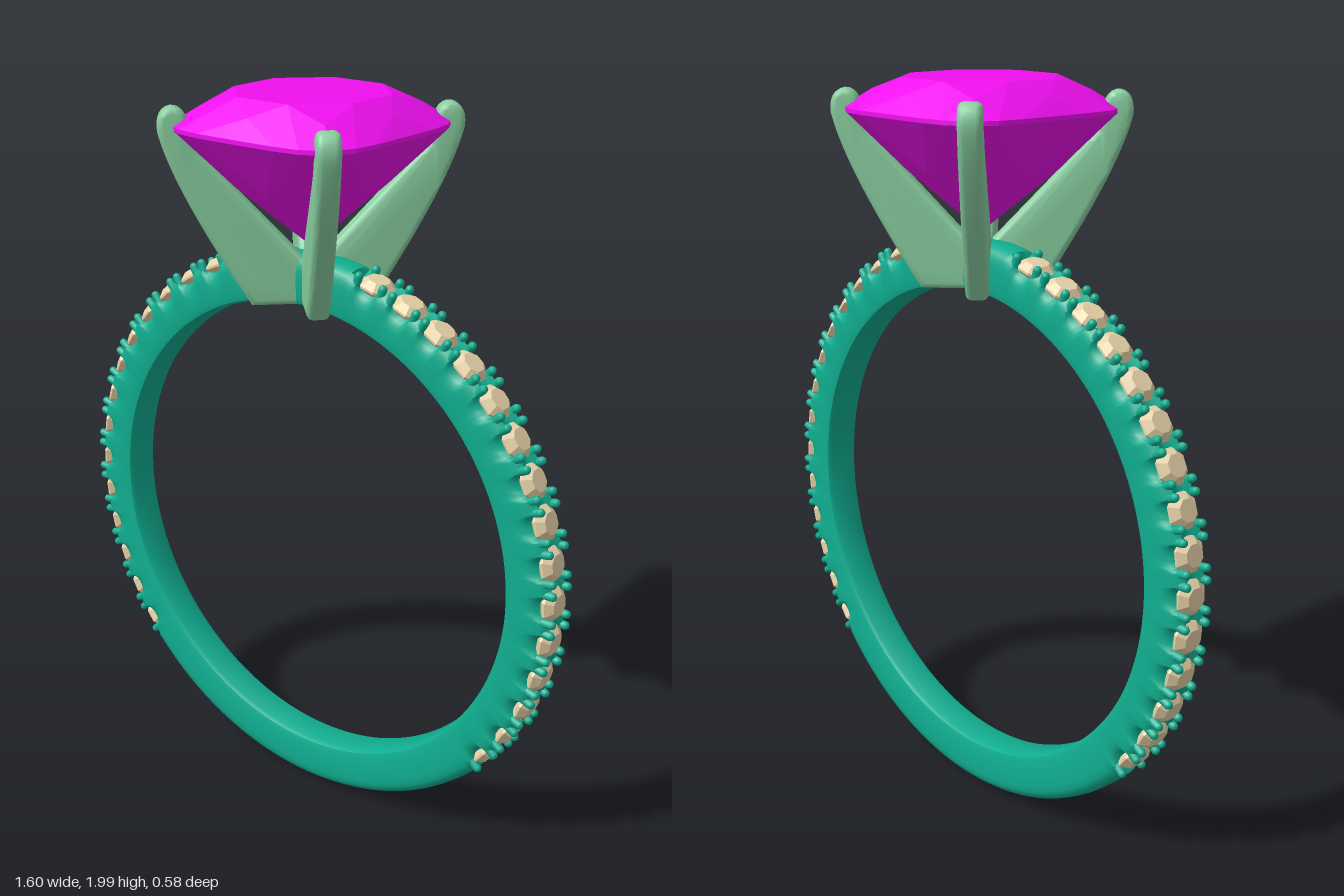
import * as THREE from 'three';
import { mergeGeometries, toCreasedNormals } from 'three/addons/utils/BufferGeometryUtils.js';
import { ConvexGeometry } from 'three/addons/geometries/ConvexGeometry.js';

const CY = 0.8; // centre height of the band
const RAD = Math.PI / 180;
const mat = (color, flatShading = false) => new THREE.MeshStandardMaterial({ color, flatShading });

// Angles of the small stones: 15 on each shoulder
const stoneAngles = [];
for (let k = 0; k < 15; k++) {
  const a = (-38 + 8 * k) * RAD;
  stoneAngles.push(a, Math.PI - a);
}

// Put a geometry whose up axis is +y onto the band, pointing outwards
function onBand(geo, angle, radius, offset = 0, z = 0) {
  return geo.clone()
    .translate(offset, radius, z)
    .rotateZ(angle - Math.PI / 2)
    .translate(0, CY, 0);
}

// Outer radius and centre groove of the band at an angle
function bandTop(a) {
  let nearest = 9;
  for (const s of stoneAngles) {
    const d = Math.atan2(Math.sin(a - s), Math.cos(a - s));
    nearest = Math.min(nearest, Math.abs(d));
  }
  const u = nearest * 0.78;
  if (u > 0.062) return [0.79, 0];
  const scallop = u < 0.036 ? 0.03 * Math.sqrt(1 - (u / 0.036) ** 2) : 0;
  return [0.786 - scallop, 0.018];
}

// Band: a rounded section swept round, scalloped beside each stone
function bandGeometry() {
  const n = 540, pos = [], index = [];
  let m = 0;
  for (let i = 0; i < n; i++) {
    const a = (i / n) * Math.PI * 2;
    const [t, g] = bandTop(a);
    const half = [[0.038, 0.656], [0.049, 0.662], [0.053, 0.676], [0.053, t - 0.045],
      [0.051, t - 0.028], [0.045, t - 0.014], [0.032, t - 0.004], [0.016, t - g * 0.7]];
    const loop = [...half, [0, t - g], ...half.map(([z, r]) => [-z, r]).reverse()];
    m = loop.length;
    for (const [z, r] of loop) pos.push(r * Math.cos(a), CY + r * Math.sin(a), z);
  }
  for (let i = 0; i < n; i++) {
    for (let j = 0; j < m; j++) {
      const i2 = (i + 1) % n, j2 = (j + 1) % m;
      const a = i * m + j, b = i * m + j2, c = i2 * m + j2, d = i2 * m + j;
      index.push(a, b, d, b, c, d);
    }
  }
  const geo = new THREE.BufferGeometry();
  geo.setAttribute('position', new THREE.Float32BufferAttribute(pos, 3));
  geo.setIndex(index);
  return toCreasedNormals(geo, 40 * RAD);
}

// Small round stone: table, crown, girdle and pavilion
function smallStoneGeometry() {
  const profile = [[0, -0.045], [0.05, -0.004], [0.05, 0.002], [0.03, 0.019], [0, 0.019]];
  return new THREE.LatheGeometry(profile.map(([x, y]) => new THREE.Vector2(x, y)), 8, Math.PI / 8);
}

// Cushion-cut centre stone as the hull of its facet corners
function centreStoneGeometry() {
  const pts = [];
  const ring = (count, radius, power, y, turn = 0, yDiag = y) => {
    for (let i = 0; i < count; i++) {
      const a = (i / count) * Math.PI * 2 + turn;
      const c = Math.cos(a), s = Math.sin(a);
      const k = radius / (Math.abs(c) ** power + Math.abs(s) ** power) ** (1 / power);
      const diagonal = Math.sin(2 * a) ** 2;
      pts.push(new THREE.Vector3(k * c, y + (yDiag - y) * diagonal, k * s));
    }
  };
  ring(8, 0.195, 2.6, 2.0, Math.PI / 8);
  ring(8, 0.245, 3.2, 1.967);
  ring(32, 0.292, 4.4, 1.923);
  ring(32, 0.292, 4.4, 1.912);
  ring(8, 0.18, 2.4, 1.765, 0, 1.76);
  pts.push(new THREE.Vector3(0, 1.605, 0));
  return new ConvexGeometry(pts);
}

// Claw: profile in the (outward, up) plane, bevelled all round
function clawGeometry() {
  const b = 0.016;
  const s = new THREE.Shape();
  s.moveTo(-0.01, 1.457 + b);
  s.lineTo(0.148, 1.457 + b);
  s.quadraticCurveTo(0.335, 1.77, 0.368, 1.91);
  s.bezierCurveTo(0.374, 1.965, 0.325, 1.965, 0.324, 1.92);
  s.quadraticCurveTo(0.32, 1.87, 0.285, 1.835);
  s.lineTo(0.02, 1.555);
  s.lineTo(-0.01, 1.555);
  s.closePath();
  const depth = 0.06 - 2 * b;
  const geo = new THREE.ExtrudeGeometry(s, {
    depth, bevelEnabled: true, bevelSize: b, bevelThickness: b, bevelSegments: 4, curveSegments: 12,
  });
  geo.translate(0, 0, -depth / 2);
  return toCreasedNormals(geo, 35 * RAD);
}

export function createModel() {
  const model = new THREE.Group();
  model.name = 'ring';
  const add = (name, geo, material, parent = model) => {
    const mesh = new THREE.Mesh(geo, material);
    mesh.name = name;
    parent.add(mesh);
    return mesh;
  };

  const metal = mat(0x10ae90);
  add('band', bandGeometry(), metal);

  // Shoulder stones, each held by four beads
  const stone = smallStoneGeometry();
  const bead = new THREE.CapsuleGeometry(0.0115, 0.025, 4, 8);
  const stones = [], beads = [];
  for (const a of stoneAngles) {
    stones.push(onBand(stone, a, 0.769));
    for (const sx of [-1, 1]) {
      for (const sz of [-1, 1]) beads.push(onBand(bead, a, 0.775, sx * 0.039, sz * 0.036));
    }
  }
  add('shoulderStones', mergeGeometries(stones), mat(0xe6d2a8, true));
  add('stoneBeads', mergeGeometries(beads), metal);

  // Head: four diagonal claws meeting over the band
  const head = new THREE.Group();
  head.name = 'head';
  model.add(head);
  const claw = clawGeometry(), clawMetal = mat(0x88cfa0);
  for (let i = 0; i < 4; i++) {
    add('claw', claw, clawMetal, head).rotation.y = Math.PI / 4 + i * Math.PI / 2;
  }

  add('centreStone', centreStoneGeometry(), mat(0xf010f0, true));
  return model;
}
